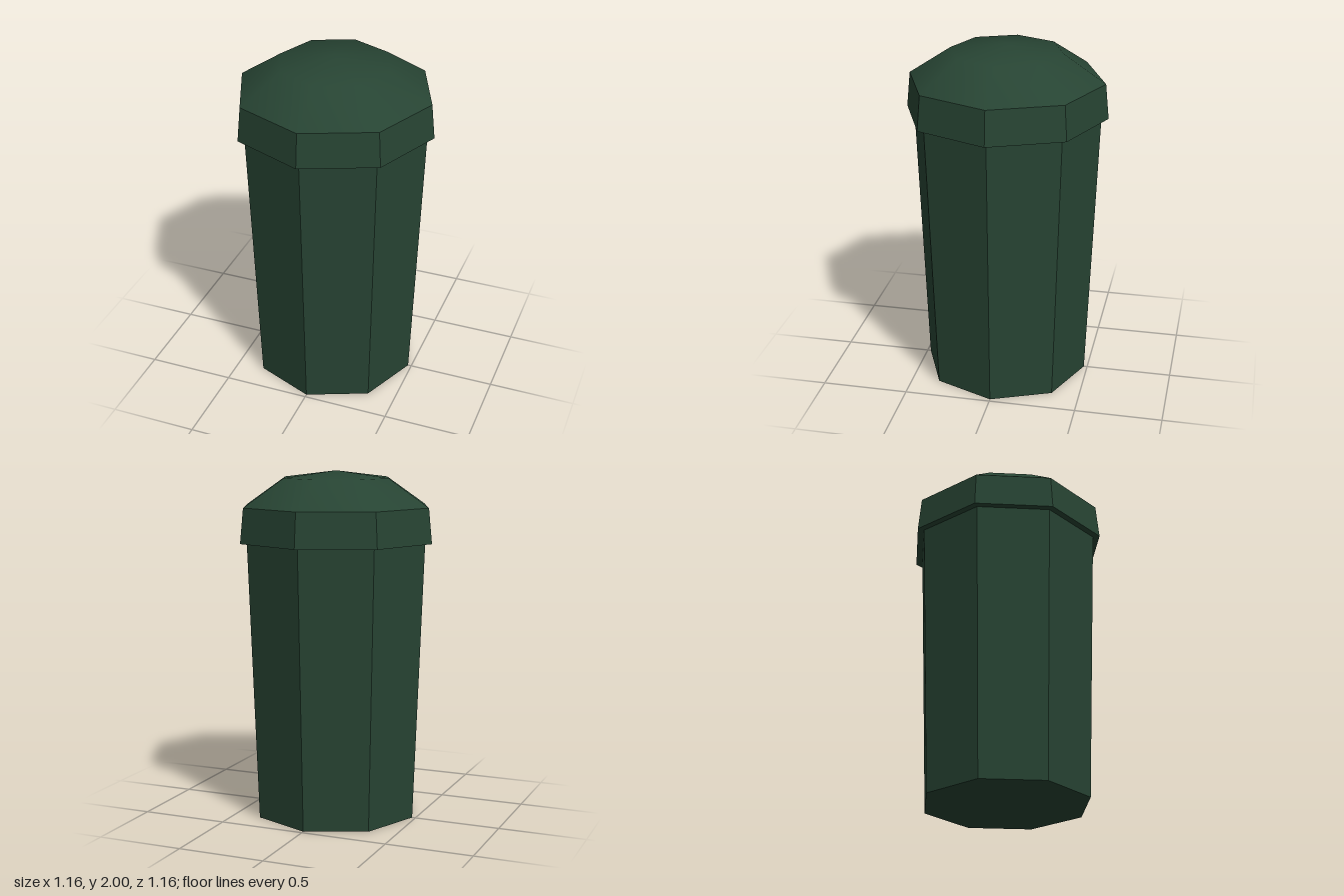
import * as THREE from 'three';
import { mergeVertices } from 'three/addons/utils/BufferGeometryUtils.js';

const SIDES = 8;

// Eight-sided tapered prism with flat facets, standing on y
function prism(topRadius, bottomRadius, height, y) {
  const geometry = new THREE.CylinderGeometry(topRadius, bottomRadius, height, SIDES).toNonIndexed();
  geometry.computeVertexNormals();
  return geometry.translate(0, y + height / 2, 0);
}

// Smooth shallow dome, from its edge up to the apex
function dome() {
  const profile = [[0.56, 1.8], [0.32, 1.96], [0, 2]].map(([r, y]) => new THREE.Vector2(r, y));
  let geometry = new THREE.LatheGeometry(profile, SIDES);
  geometry.deleteAttribute('normal');
  geometry.deleteAttribute('uv');
  geometry = mergeVertices(geometry);
  geometry.computeVertexNormals();
  return geometry;
}

export function createModel() {
  const model = new THREE.Group();
  model.name = 'litterBin';

  const darkGreen = new THREE.MeshStandardMaterial({ color: 0x274433 });
  darkGreen.name = 'dark green';

  const add = (name, geometry, parent) => {
    const mesh = new THREE.Mesh(geometry, darkGreen);
    mesh.name = name;
    parent.add(mesh);
  };

  // Tapered body, wider at the top
  add('body', prism(0.54, 0.48, 1.6, 0), model);

  // Overhanging lid: rim and dome
  const lid = new THREE.Group();
  lid.name = 'lid';
  add('lidRim', prism(0.56, 0.58, 0.2, 1.6), lid);
  add('lidDome', dome(), lid);
  model.add(lid);

  return model;
}
